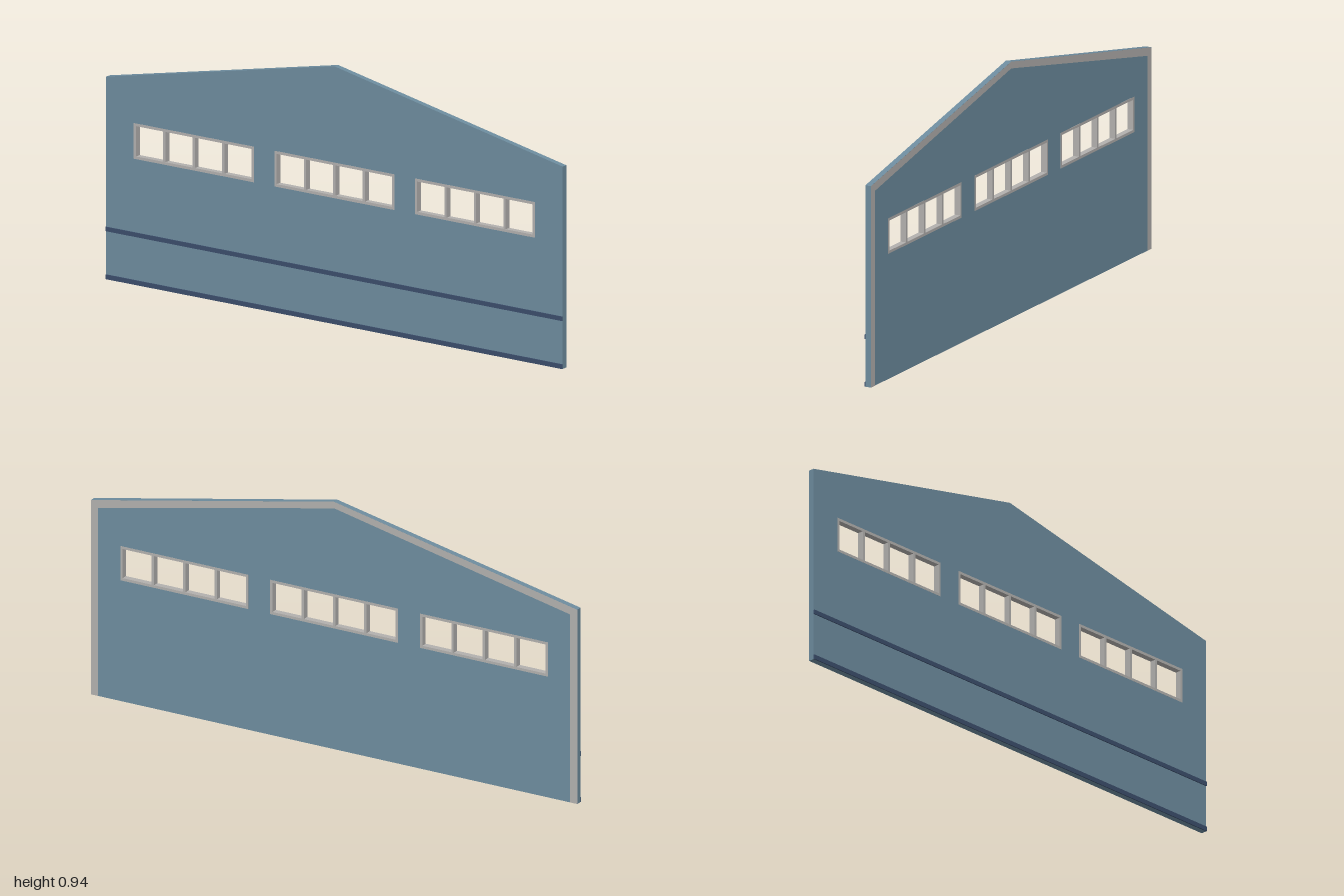
import * as THREE from 'three';

const mat = (name, color, side = THREE.FrontSide) => {
  const m = new THREE.MeshStandardMaterial({ color, side });
  m.name = name;
  return m;
};

const BACK = -0.0095, FRONT = 0.013; // wall faces along x
const EAVE = 0.742, PEAK = 0.945, TRIM = 0.03;
const WIN_Y0 = 0.461, WIN_Y1 = 0.592, WIN_W = 0.526;

// Closed outline from [along, up] points
const points = (list) => list.map(([a, b]) => new THREE.Vector2(a, b));
const rect = (x0, y0, x1, y1) => points([[x0, y0], [x1, y0], [x1, y1], [x0, y1]]);
const gable = (half, eave, peak) =>
  points([[-half, 0], [half, 0], [half, eave], [0, peak], [-half, eave]]);

export function createModel() {
  const group = new THREE.Group();
  group.name = 'gableWall';
  const blue = mat('wall blue', 0x6d8c9e);
  const grey = mat('trim grey', 0xb2b0ae);
  const navy = mat('rail navy', 0x3b4d6b);

  // Shapes are drawn along the wall, then turned so their depth runs along x
  const add = (name, geometry, material, x) => {
    geometry.rotateY(Math.PI / 2).translate(x, 0, 0);
    const mesh = new THREE.Mesh(geometry, material);
    mesh.name = name;
    group.add(mesh);
  };
  const slab = (shape, depth) => new THREE.ExtrudeGeometry(shape, { depth, bevelEnabled: false });

  // Wall panel with three window openings
  const wall = new THREE.Shape(gable(1, EAVE, PEAK));
  const starts = [-0.879, -WIN_W / 2, 0.353];
  for (const s of starts) {
    wall.holes.push(new THREE.Path(rect(s, WIN_Y0, s + WIN_W, WIN_Y1)));
  }
  add('wall', slab(wall, FRONT - BACK), blue, BACK);

  // Painted edge trim along the posts and gable
  const trim = new THREE.Shape(points([
    [-1, 0], [-1 + TRIM, 0], [-1 + TRIM, EAVE - 0.024], [0, PEAK - 0.025],
    [1 - TRIM, EAVE - 0.024], [1 - TRIM, 0], [1, 0], [1, EAVE], [0, PEAK], [-1, EAVE],
  ]));
  add('edgeTrim', new THREE.ShapeGeometry(trim), grey, FRONT + 0.0005);

  // Window frames, four open panes each
  const border = 0.01, bar = 0.01, panes = 4;
  const paneW = (WIN_W - 2 * border - (panes - 1) * bar) / panes;
  for (const s of starts) {
    const frame = new THREE.Shape(rect(s, WIN_Y0, s + WIN_W, WIN_Y1));
    for (let i = 0; i < panes; i++) {
      const a = s + border + i * (paneW + bar);
      frame.holes.push(new THREE.Path(rect(a, WIN_Y0 + border, a + paneW, WIN_Y1 - border)));
    }
    add('windowFrame', slab(frame, FRONT - BACK + 0.0006), grey, BACK - 0.0003);
  }

  // Horizontal rails on the back face
  for (const [y0, y1] of [[0, 0.017], [0.176, 0.192]]) {
    add('rail', slab(new THREE.Shape(rect(-1, y0, 1, y1)), 0.004), navy, BACK - 0.004);
  }
  return group;
}
